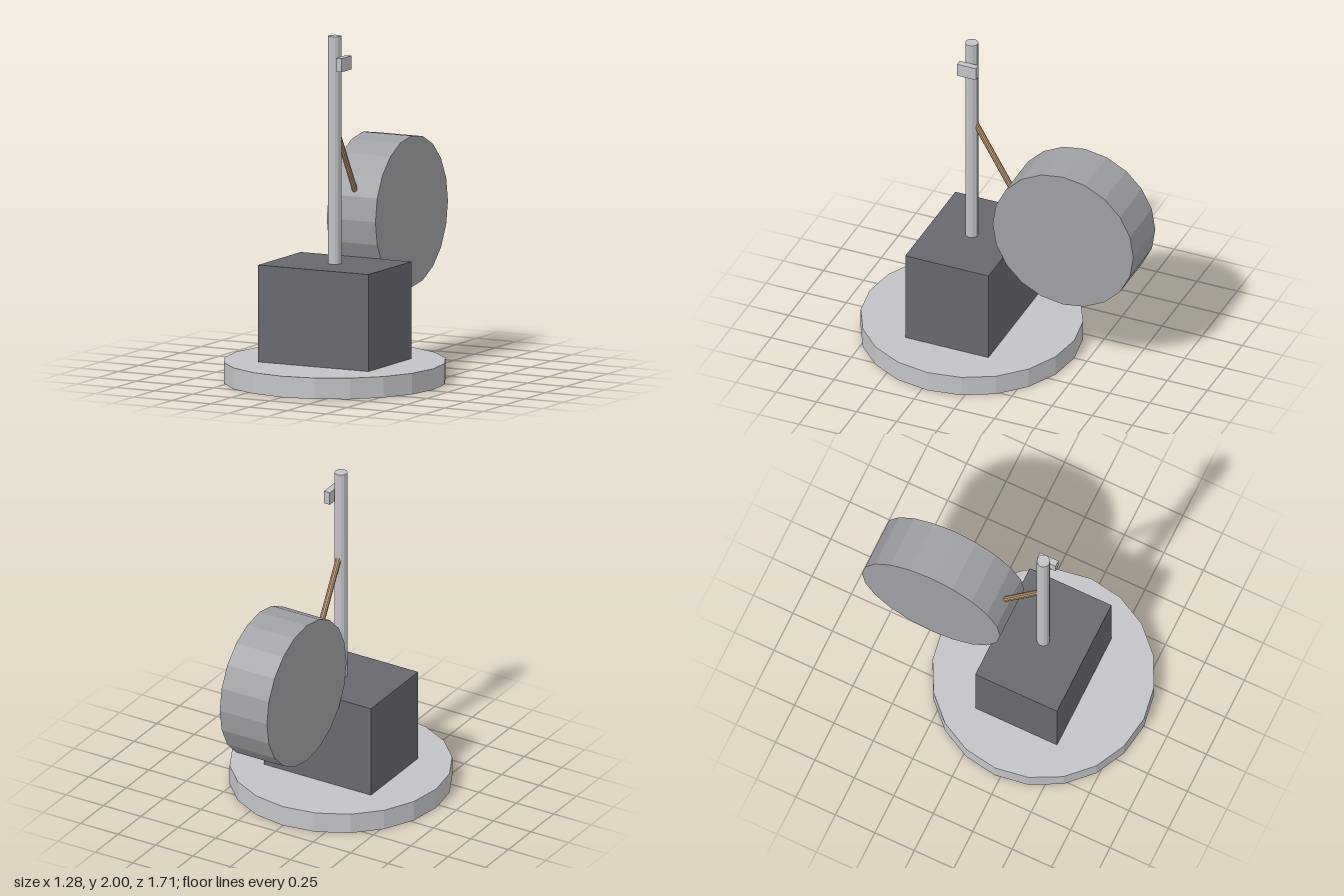
import * as THREE from 'three';

function material(name, color) {
  const m = new THREE.MeshStandardMaterial({ color, flatShading: true });
  m.name = name;
  return m;
}

export function createModel() {
  const model = new THREE.Group();
  model.name = 'mastWithDrum';

  const paleGrey = material('paleGrey', 0xc2c3c7);
  const darkGrey = material('darkGrey', 0x68696e);
  const midGrey = material('midGrey', 0x9fa0a4);
  const tan = material('tan', 0xc49a70);

  function add(name, geometry, mat, x, y, z) {
    const mesh = new THREE.Mesh(geometry, mat);
    mesh.name = name;
    mesh.position.set(x, y, z);
    model.add(mesh);
    return mesh;
  }

  const axisZ = 0.217; // shared axis of base, block and mast

  // Round base plate and the block on it
  add('base', new THREE.CylinderGeometry(0.638, 0.638, 0.122, 20), paleGrey, 0, 0.061, axisZ);
  add('block', new THREE.BoxGeometry(0.716, 0.561, 0.518), darkGrey, 0, 0.4025, axisZ);

  // Mast and its small side bracket
  add('mast', new THREE.CylinderGeometry(0.038, 0.038, 1.32, 12), paleGrey, 0, 1.34, axisZ);
  add('bracket', new THREE.BoxGeometry(0.038, 0.078, 0.118), paleGrey, 0.058, 1.843, axisZ);

  // Drum lying across the back
  const drum = add('drum', new THREE.CylinderGeometry(0.438, 0.438, 0.315, 20), midGrey, 0, 0.903, -0.419);
  drum.rotation.z = Math.PI / 2;

  // Slanted strut from the mast into the drum
  const top = new THREE.Vector3(0, 1.475, 0.207);
  const end = new THREE.Vector3(0, 0.95, -0.098);
  const run = top.clone().sub(end);
  const strut = add('strut', new THREE.CylinderGeometry(0.017, 0.017, run.length(), 10), tan, 0, 0, 0);
  strut.position.copy(top).add(end).multiplyScalar(0.5);
  strut.quaternion.setFromUnitVectors(new THREE.Vector3(0, 1, 0), run.normalize());

  return model;
}
